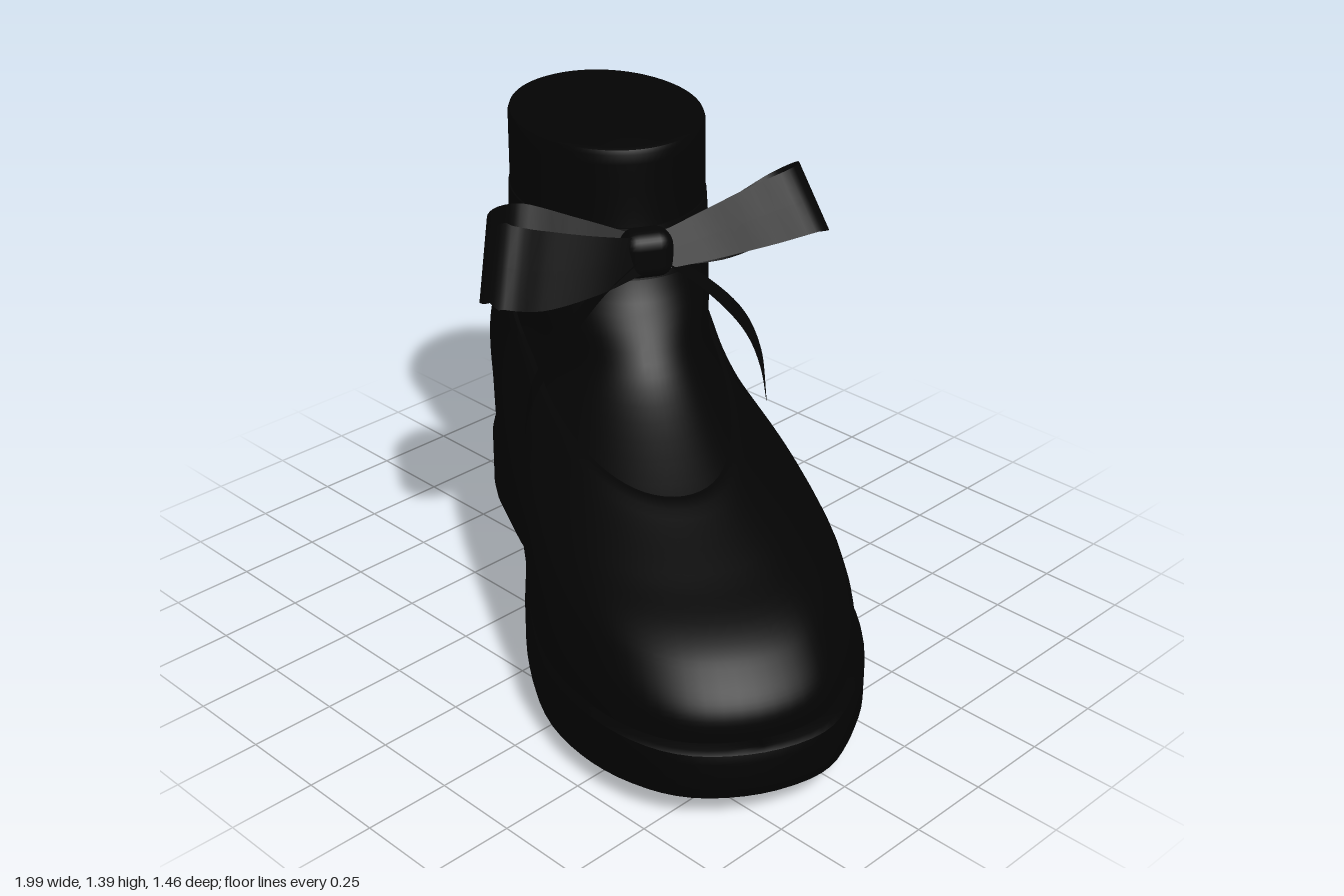
import * as THREE from 'three';
import { toCreasedNormals } from 'three/addons/utils/BufferGeometryUtils.js';
import { RoundedBoxGeometry } from 'three/addons/geometries/RoundedBoxGeometry.js';

const { lerp, smoothstep } = THREE.MathUtils;
const SEGMENTS = 96;
const HEEL_FRONT = -0.38;

// Sole half outlines from toe to heel, at evenly spaced angles
const innerSide = [0, 0.185, 0.315, 0.405, 0.452, 0.432, 0.365, 0.295, 0.293, 0.29, 0.225, 0.13, -0.02];
const outerSide = [0, -0.175, -0.29, -0.395, -0.464, -0.47, -0.435, -0.41, -0.4, -0.386, -0.315, -0.17];
const outline = [...innerSide, ...outerSide.slice(1).reverse()];

// Upper by height: y, heel end, toe end, half width, sideways centre, roundness, heel fullness
const keys = [
  [0.18, -1.02, 1.0, 0.42, 0, 0, 0],
  [0.3, -1.045, 1.0, 0.42, 0, 0, 0.5],
  [0.4, -1.045, 0.91, 0.4, 0, 0.15, 0.8],
  [0.45, -1.04, 0.82, 0.39, 0, 0.3, 0.8],
  [0.5, -1.03, 0.66, 0.38, 0.005, 0.47, 0.8],
  [0.6, -1.01, 0.38, 0.33, 0.01, 0.83, 0.78],
  [0.75, -0.975, 0.085, 0.275, -0.02, 1, 0.6],
  [0.9, -0.925, -0.05, 0.28, -0.03, 1, 0.3],
  [0.97, -0.895, -0.11, 0.285, -0.035, 1, 0],
  [1.1, -0.895, -0.16, 0.285, -0.035, 1, 0],
  [1.4, -0.895, -0.175, 0.285, -0.035, 1, 0],
];

function cubic(p0, p1, m0, m1, u) {
  const u2 = u * u, u3 = u2 * u;
  return (2 * u3 - 3 * u2 + 1) * p0 + (u3 - 2 * u2 + u) * m0 + (3 * u2 - 2 * u3) * p1 + (u3 - u2) * m1;
}

// Sideways position on the sole outline at an angle
function outlineAt(a) {
  const n = outline.length, f = (a / (2 * Math.PI)) * n, i = Math.floor(f);
  const p = (k) => outline[(i + k + 2 * n) % n];
  return cubic(p(0), p(1), (p(1) - p(-1)) / 2, (p(2) - p(0)) / 2, f - i);
}

// Smooth upper measurements at a height
function measure(y) {
  let i = 0;
  while (i < keys.length - 2 && y > keys[i + 1][0]) i++;
  const k0 = keys[i], k1 = keys[i + 1], h = k1[0] - k0[0];
  const before = keys[Math.max(i - 1, 0)], after = keys[Math.min(i + 2, keys.length - 1)];
  return k0.map((v, c) => cubic(v, k1[c],
    ((k1[c] - before[c]) / (k1[0] - before[0])) * h,
    ((after[c] - v) / (after[0] - k0[0])) * h, (y - k0[0]) / h));
}

function upperPoint(a, y, offset = 0, scale = 1) {
  const [, back, front, width, centre, round, full] = measure(y);
  const mid = (back + front) / 2, half = (front - back) / 2;
  const roundness = round * (1 - full * smoothstep(-Math.cos(a), -0.3, 0.8));
  const side = lerp(outlineAt(a) * 0.92, centre + width * Math.sin(a), roundness);
  return [
    mid + (half + offset) * scale * Math.cos(a), y,
    lerp(centre, side + offset * Math.sin(a), scale),
  ];
}

// Skin closed rings, listed from bottom to top
function loft(rings) {
  const pos = [], index = [];
  rings.forEach((ring, r) => {
    for (let j = 0; j < SEGMENTS; j++) {
      pos.push(...ring((j / SEGMENTS) * 2 * Math.PI));
      if (r === 0) continue;
      const k = (j + 1) % SEGMENTS, lo = (r - 1) * SEGMENTS, hi = r * SEGMENTS;
      index.push(lo + j, hi + j, lo + k, lo + k, hi + j, hi + k);
    }
  });
  const geo = new THREE.BufferGeometry();
  geo.setAttribute('position', new THREE.Float32BufferAttribute(pos, 3));
  geo.setIndex(index);
  return toCreasedNormals(geo, 0.7);
}

// Slab following the sole outline, cut straight across at a limit;
// width 0 collapses a ring to the centre line
function slab(bottom, top, limit = 1.077) {
  const cut = Math.acos(Math.min((limit + 0.008) / 1.085, 1));
  const side = (a) => {
    const signed = a > Math.PI ? a - 2 * Math.PI : a;
    if (Math.abs(signed) >= cut) return outlineAt(a);
    return lerp(outlineAt(-cut), outlineAt(cut), (signed + cut) / (2 * cut));
  };
  const ring = (width, level, lift, inset) => (a) => {
    const s = Math.min(-0.008 + (1.085 - inset) * Math.cos(a), limit);
    return [s, (level === 0 ? bottom(s) : top(s)) + lift, side(a) * width];
  };
  return loft([
    ring(0, 0, 0, 0.025), ring(0.95, 0, 0, 0.025), ring(0.985, 0, 0.015, 0.008),
    ring(1, 0, 0.045, 0), ring(1, 1, -0.03, 0), ring(0.99, 1, -0.008, 0.006),
    ring(0.97, 1, 0, 0.02), ring(0, 1, 0, 0.02),
  ]);
}

// Flat ribbon along points [x, y, z, half width], spread in one direction
function ribbon(points, direction) {
  const path = new THREE.CatmullRomCurve3(points.map((p) => new THREE.Vector3(p[0], p[1], p[2])));
  const widths = new THREE.CatmullRomCurve3(points.map((p) => new THREE.Vector3(p[3], 0, 0)));
  const dir = new THREE.Vector3(...direction).normalize();
  const geo = new THREE.PlaneGeometry(1, 1, 40, 2);
  const pos = geo.attributes.position;
  for (let i = 0; i < pos.count; i++) {
    const u = pos.getX(i) + 0.5, v = pos.getY(i) * 2;
    const p = path.getPoint(u).addScaledVector(dir, v * widths.getPoint(u).x);
    pos.setXYZ(i, p.x, p.y, p.z);
  }
  geo.computeVertexNormals();
  return geo;
}

export function createModel() {
  const material = (name, color, side = THREE.FrontSide) => {
    const m = new THREE.MeshStandardMaterial({ color, side });
    m.name = name;
    return m;
  };
  const leather = material('black leather', 0x030303, THREE.DoubleSide);
  const rubber = material('black rubber', 0x020202);
  const satin = material('black satin', 0x040404, THREE.DoubleSide);
  const brown = material('dark brown', 0x1e1812);

  const model = new THREE.Group();
  model.name = 'ankleBoot';
  const boot = new THREE.Group();
  boot.name = 'boot';
  boot.rotation.y = -0.494;
  model.add(boot);
  const add = (parent, name, geo, mat) => {
    const mesh = new THREE.Mesh(geo, mat);
    mesh.name = name;
    parent.add(mesh);
    return mesh;
  };

  // Sole with raised arch and toe spring, plus heel block
  const soleBottom = (s) => 0.038 + 0.085 * (1 - smoothstep(s, -0.45, 0.25)) + 0.035 * smoothstep(s, 0.55, 1.1);
  const soleTop = (s) => 0.226 + 0.029 * (1 - smoothstep(s, -0.9, 0.2));
  add(boot, 'sole', slab(soleBottom, soleTop), rubber);
  add(boot, 'heel', slab(() => 0.004, () => 0.2, HEEL_FRONT), rubber);

  // Brown inlay under the heel: across its front edge and along the inner side
  for (const [s, t, length, width] of [[-0.437, -0.055, 0.11, 0.64], [-0.585, 0.22, 0.19, 0.09]]) {
    const inlay = add(boot, 'heelInlay', new THREE.BoxGeometry(length, 0.008, width), brown);
    inlay.position.set(s, 0.004, t);
  }

  // Oval tread ridges under ball and heel
  for (const [x, y, z, rx, rz] of [[0.5, 0.039, 0, 0.34, 0.28], [0.5, 0.039, 0, 0.22, 0.15], [-0.75, 0.005, -0.06, 0.18, 0.18]]) {
    const tread = add(boot, 'treadRidge', new THREE.TorusGeometry(1, 0.04, 6, 40), rubber);
    tread.rotation.x = Math.PI / 2;
    tread.position.set(x, y, z);
    tread.scale.set(rx, rz, 0.1);
  }

  // Outer shell, its collar sloping from heel to instep
  const collar = (a) => 0.755 - 0.15 * Math.cos(a) - 0.01 * Math.cos(2 * a);
  const shell = [];
  for (let i = 0; i <= 30; i++) shell.push((a) => upperPoint(a, lerp(0.2, collar(a) - 0.012, i / 30), 0.02));
  shell.push((a) => upperPoint(a, collar(a), 0.012), (a) => upperPoint(a, collar(a), -0.02));
  add(boot, 'outerShell', loft(shell), leather);

  // Tongue and ankle shaft with a rounded, closed top
  const shaft = [];
  for (let i = 0; i <= 30; i++) shaft.push((a) => upperPoint(a, lerp(0.53, 1.375, i / 30)));
  for (const [y, scale] of [[1.388, 0.985], [1.393, 0.95], [1.393, 0]]) {
    shaft.push((a) => upperPoint(a, y, 0, scale));
  }
  add(boot, 'ankleShaft', loft(shaft), leather);

  // Ribbon wrapped around the ankle
  const wrap = [[1.01, -0.005], [1.012, 0.004], [1.085, 0.007], [1.158, 0.004], [1.16, -0.005]];
  add(boot, 'ribbonWrap', loft(wrap.map(([y, o]) => (a) => upperPoint(a, y, o))), satin);

  // Bow: knot, two loops and two tails
  const bow = new THREE.Group();
  bow.name = 'bow';
  model.add(bow);
  const knot = add(bow, 'knot', new RoundedBoxGeometry(0.11, 0.14, 0.15, 3, 0.045), satin);
  knot.position.set(-0.09, 1.1, -0.09);
  knot.rotation.y = -0.494;
  add(bow, 'rightLoop', ribbon([
    [-0.08, 1.1, -0.07, 0.05], [-0.24, 1.11, 0.06, 0.09], [-0.345, 1.115, 0.17, 0.125], [-0.335, 1.125, 0.27, 0.135],
    [-0.26, 1.16, 0.365, 0.115], [-0.18, 1.16, 0.35, 0.115], [-0.14, 1.13, 0.25, 0.11],
    [-0.09, 1.11, 0.08, 0.08], [-0.07, 1.1, -0.07, 0.05],
  ], [-0.2, 0.92, -0.33]), satin);
  add(bow, 'leftLoop', ribbon([
    [-0.08, 1.1, -0.11, 0.05], [-0.03, 1.1, -0.3, 0.07], [-0.03, 1.11, -0.46, 0.085], [0.01, 1.14, -0.565, 0.1],
    [0.09, 1.18, -0.59, 0.11], [0.145, 1.21, -0.51, 0.1], [0.09, 1.18, -0.39, 0.09],
    [0.0, 1.13, -0.24, 0.07], [-0.06, 1.1, -0.11, 0.05],
  ], [-0.5, 0.8, 0.05]), satin);
  add(bow, 'rightTail', ribbon([
    [-0.09, 1.09, -0.06, 0.045], [-0.12, 1.02, 0.05, 0.07], [-0.17, 0.88, 0.165, 0.095],
    [-0.2, 0.73, 0.26, 0.085], [-0.2, 0.55, 0.3, 0.008],
  ], [0.7, 0.15, 0.6]), satin);
  add(bow, 'leftTail', ribbon([
    [-0.07, 1.09, -0.12, 0.04], [0.01, 1.0, -0.22, 0.06], [0.055, 0.86, -0.34, 0.075],
    [0.05, 0.7, -0.43, 0.07], [0.04, 0.53, -0.475, 0.008],
  ], [0.6, 0.1, 0.7]), satin);

  return model;
}
